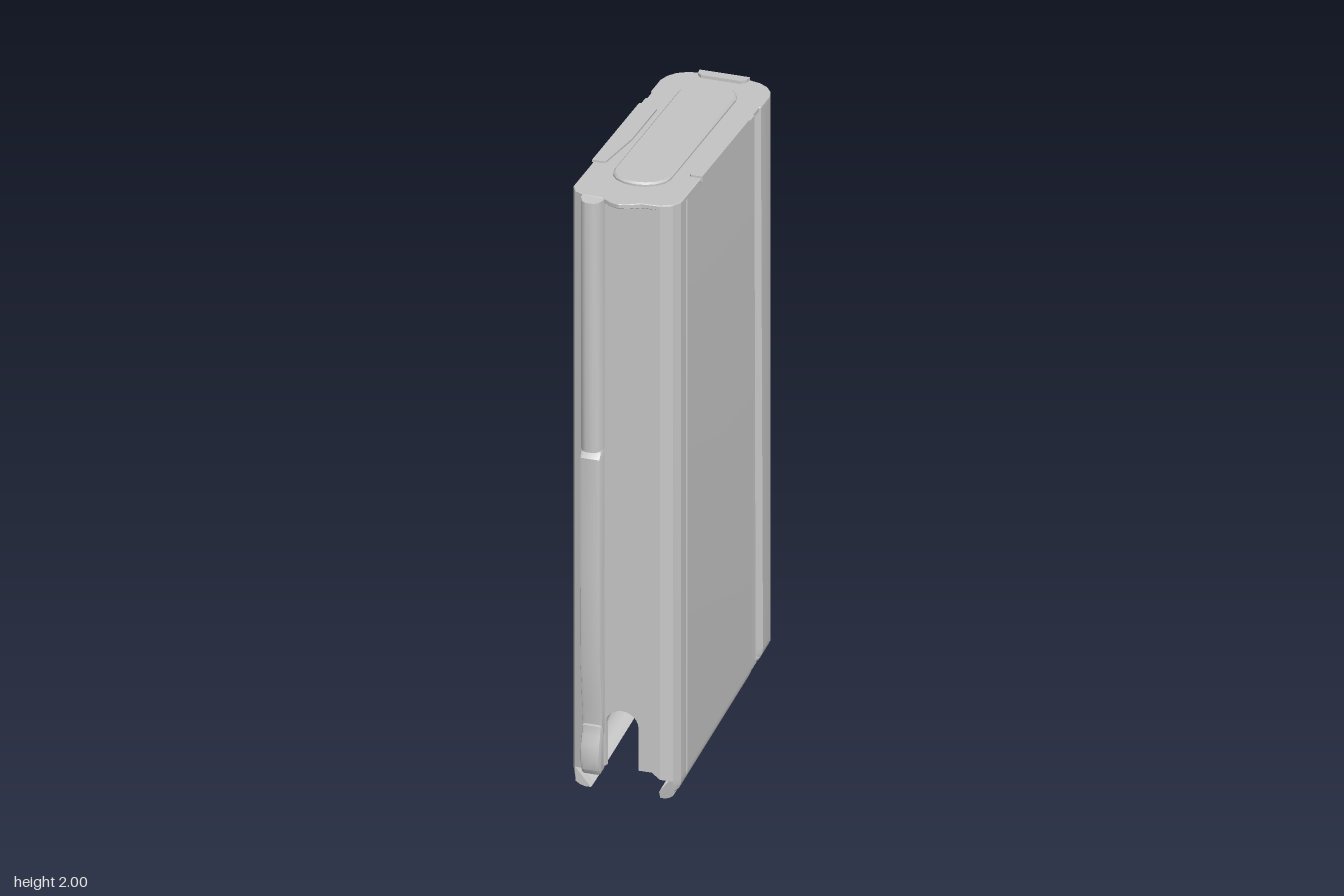
import * as THREE from 'three';
import { toCreasedNormals } from 'three/addons/utils/BufferGeometryUtils.js';

const metal = new THREE.MeshStandardMaterial({ color: 0xc8c8c8, side: THREE.DoubleSide });
metal.name = 'light grey metal';
const topY = (z) => 1.917 + 0.136 * z; // sloped closed end

function part(name, geometry, crease = 0.6) {
  const mesh = new THREE.Mesh(toCreasedNormals(geometry, crease), metal);
  mesh.name = name;
  return mesh;
}

// Half outline of the wall, front centre to back centre.
// x, z, height of the cut lower edge (0 = curled lip), groove offset
function halfOutline() {
  const cols = [];
  for (let i = 0; i <= 6; i++) {
    const a = (Math.PI / 2) * (1 - i / 6);
    cols.push([0.05 * Math.cos(a), 0.49, 0.24 + 0.05 * Math.sin(a)]);
  }
  cols.push([0.05, 0.49, 0.1], [0.09, 0.49, 0.1], [0.115, 0.49, 0.08]);
  cols.push([0.148, 0.472, 0.07], [0.148, 0.472, 0], [0.163, 0.44, 0]);
  cols.push([0.162, 0.39, 0], [0.166, 0.385, 0]);
  cols.push([0.166, -0.3, 0, 1], [0.15, -0.3, 0, 0.6], [0.15, -0.3, 0, -0.6], [0.166, -0.3, 0, -1]);
  cols.push([0.166, -0.42, 0], [0.157, -0.455, 0], [0.138, -0.485, 0]);
  cols.push([0.138, -0.485, 0.07], [0.11, -0.505, 0.08], [0.08, -0.513, 0.1], [0, -0.513, 0.1]);
  return cols;
}

// Thin wall: outside rows down to the lip, then inside rows back up
function shellGeometry() {
  const half = halfOutline();
  const mirrored = half.slice(1, -1).reverse().map(([x, ...rest]) => [-x, ...rest]);
  const cols = [...half, ...mirrored];
  const LIP = 6;
  const outer = ([x, z, cut, groove = 0], row) => {
    const zAt = (y) => z + groove * (0.052 - 0.011 * y);
    if (row === 0) return [x, topY(zAt(1.87)), zAt(1.87)];
    const edge = Math.max(cut, 0.07);
    if (row === 1 || cut > 0) return [x, edge, zAt(0)];
    const a = ((row - 1) / LIP) * (Math.PI / 2);
    const k = 1 - Math.cos(a);
    const limit = 0.166 - 0.061 * k;
    return [Math.sign(x) * Math.min(Math.abs(x), limit), 0.07 * (1 - Math.sin(a)), zAt(0) * (1 - 0.035 * k)];
  };
  const rows = LIP + 2;
  const pos = [], idx = [];
  for (const c of cols) {
    for (let r = 0; r < rows; r++) pos.push(...outer(c, r));
    for (let r = rows - 1; r >= 0; r--) {
      const [x, y, z] = outer(c, r);
      const lift = r > 1 && c[2] === 0 ? (0.012 * (r - 1)) / LIP : 0;
      pos.push(x * 0.93, y + lift, z * 0.975);
    }
  }
  const n = rows * 2;
  for (let i = 0; i < cols.length; i++) {
    const j = (i + 1) % cols.length;
    for (let r = 0; r < n - 1; r++) {
      const a = i * n + r, d = j * n + r;
      idx.push(a, a + 1, d + 1, a, d + 1, d);
    }
  }
  const g = new THREE.BufferGeometry();
  g.setAttribute('position', new THREE.Float32BufferAttribute(pos, 3));
  g.setIndex(idx);
  return g;
}

// Flat plate from an x,z outline, sheared to follow the sloped end
function slopedPlate(name, points, base, height, bevel = 0) {
  const shape = new THREE.Shape(points.map(([x, z]) => new THREE.Vector2(x, -z)));
  const g = new THREE.ExtrudeGeometry(shape, {
    depth: height - bevel, bevelEnabled: bevel > 0, bevelSize: bevel,
    bevelThickness: bevel, bevelOffset: -bevel, bevelSegments: 1,
  });
  g.rotateX(-Math.PI / 2);
  const p = g.attributes.position;
  for (let i = 0; i < p.count; i++) p.setY(i, p.getY(i) + base + topY(p.getZ(i)));
  return part(name, g, 0.4);
}
const mirrorX = (pts) => [...pts, ...pts.map(([x, z]) => [-x, z]).reverse()];

// Side profile in z,y extruded across x
function sideProfile(name, points, x0, x1, bevel) {
  const shape = new THREE.Shape(points.map(([z, y]) => new THREE.Vector2(-z, y)));
  const g = new THREE.ExtrudeGeometry(shape, {
    depth: x1 - x0 - 2 * bevel, bevelEnabled: true, bevelSize: bevel,
    bevelThickness: bevel, bevelOffset: -bevel, bevelSegments: 2,
  });
  g.rotateY(Math.PI / 2);
  g.translate(x0 + bevel, 0, 0);
  return part(name, g);
}

export function createModel() {
  const model = new THREE.Group();
  model.name = 'boxContainer';
  model.add(part('wallShell', shellGeometry(), 0.35));

  // End plate with front tongue and notches at the side grooves
  model.add(slopedPlate('endPlate', mirrorX([
    [0, 0.524], [0.028, 0.514], [0.058, 0.493], [0.115, 0.49], [0.148, 0.472],
    [0.163, 0.44], [0.163, 0.245], [0.166, 0.24], [0.166, -0.27], [0.161, -0.272], [0.161, -0.328],
    [0.166, -0.33], [0.166, -0.42], [0.157, -0.455], [0.138, -0.485], [0.11, -0.505], [0.08, -0.513],
  ]), -0.002, 0.014, 0.002));

  // Raised long oval
  const oval = [];
  for (const [centre, start] of [[0.29, 0], [-0.345, Math.PI]]) {
    for (let i = 0; i <= 8; i++) {
      const a = start + (i / 8) * Math.PI;
      oval.push([0.086 * Math.cos(a), centre + 0.084 * Math.sin(a)]);
    }
  }
  model.add(slopedPlate('raisedOval', oval, 0.01, 0.014, 0.006));

  // Folded side flaps and back tab
  for (const s of [1, -1]) {
    model.add(slopedPlate(s > 0 ? 'leftFlap' : 'rightFlap', [
      [0.167, 0.245], [0.133, 0.245], [0.126, 0.235], [0.106, 0.05], [0.106, -0.195],
      [0.112, -0.21], [0.13, -0.215], [0.167, -0.215],
    ].map(([x, z]) => [s * x, z]), 0.01, 0.008));
  }
  model.add(slopedPlate('backTab', mirrorX([
    [0.076, -0.513], [0.074, -0.49], [0.06, -0.475],
  ]), 0.01, 0.012));

  // Front rib on the right, with the lever below it
  const ribShape = new THREE.Shape([
    [-0.122, -0.48], [-0.05, -0.48], [-0.053, -0.505], [-0.062, -0.525],
    [-0.075, -0.533], [-0.098, -0.533], [-0.111, -0.525], [-0.12, -0.505],
  ].map(([x, z]) => new THREE.Vector2(x, z)));
  const rib = new THREE.ExtrudeGeometry(ribShape, { depth: 0.832, bevelEnabled: false });
  rib.rotateX(-Math.PI / 2);
  rib.translate(0, 1.162, 0);
  model.add(part('frontRib', rib));
  model.add(sideProfile('lever', [
    [0.47, 0.2], [0.5, 0.2], [0.51, 0.3], [0.528, 0.46], [0.532, 0.8],
    [0.532, 1.14], [0.515, 1.158], [0.47, 1.158],
  ], -0.118, -0.054, 0.01));
  model.add(sideProfile('leverKnob', [
    [0.47, 0.08], [0.515, 0.08], [0.528, 0.1], [0.532, 0.14], [0.528, 0.185],
    [0.518, 0.21], [0.515, 0.24], [0.47, 0.24],
  ], -0.116, -0.056, 0.01));

  // Small hollow stop pressed out of the back wall, open at the top
  const stop = new THREE.CylinderGeometry(0.042, 0.004, 0.05, 12, 1, true, Math.PI / 2, Math.PI);
  stop.scale(1, 1, 0.57);
  stop.translate(0, 0.177, -0.512);
  model.add(part('backStop', stop));
  return model;
}
